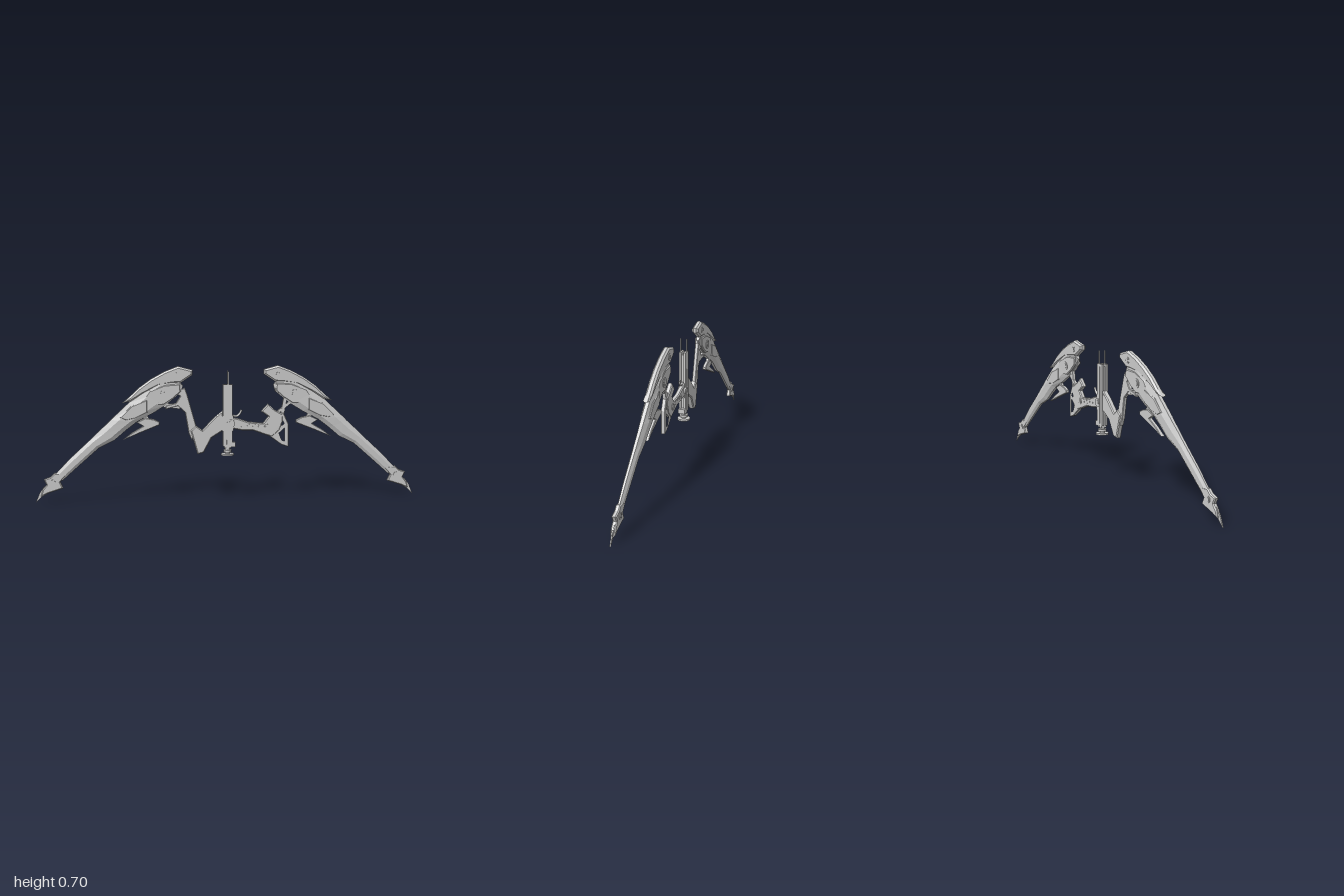
import * as THREE from 'three';

const flat = new THREE.MeshStandardMaterial({ color: 0xcccccc, flatShading: true });
const smooth = new THREE.MeshStandardMaterial({ color: 0xcccccc });

function add(parent, name, geometry, material = flat) {
  const mesh = new THREE.Mesh(geometry, material);
  mesh.name = name;
  parent.add(mesh);
  return mesh;
}

// Flat plate cut from an outline, centred on z = 0, with chamfered rims
function plate(parent, name, points, half, bevel = 0.004, holes = []) {
  const toV2 = list => list.map(([x, y]) => new THREE.Vector2(x, y));
  const shape = new THREE.Shape(toV2(points));
  for (const h of holes) shape.holes.push(new THREE.Path(toV2(h)));
  const geo = new THREE.ExtrudeGeometry(shape, {
    depth: 2 * (half - bevel), bevelEnabled: bevel > 0, bevelSegments: 1,
    bevelThickness: bevel, bevelSize: bevel, bevelOffset: -bevel,
  });
  geo.translate(0, 0, bevel - half);
  return add(parent, name, geo);
}

// Pivot bolt running through the thickness, with a raised inner pin
function bolt(parent, name, x, y, r, half) {
  for (const [k, extra] of [[1, 0], [0.6, 0.002]]) {
    const geo = new THREE.CylinderGeometry(r * k, r * k, 2 * (half + extra), 20);
    geo.rotateX(Math.PI / 2);
    add(parent, name, geo, smooth).position.set(x, y, 0);
  }
}

// Box between two points in the xy plane
function strut(parent, name, [x0, y0], [x1, y1], width, half) {
  const geo = new THREE.BoxGeometry(Math.hypot(x1 - x0, y1 - y0), width, 2 * half);
  const mesh = add(parent, name, geo);
  mesh.position.set((x0 + x1) / 2, (y0 + y1) / 2, 0);
  mesh.rotation.z = Math.atan2(y1 - y0, x1 - x0);
}

// Eight-sided cross-sections: [outer x, outer y, inner x, inner y, half thickness]
function bladeGeometry(sections) {
  const rings = sections.map(([ox, oy, ix, iy, h]) => {
    const at = (t, z) => [ox + (ix - ox) * t, oy + (iy - oy) * t, z];
    const e = h * 0.4;
    return [at(0, e), at(0.3, h), at(0.75, h), at(1, e), at(1, -e), at(0.75, -h), at(0.3, -h), at(0, -e)];
  });
  const index = [], last = (rings.length - 1) * 8;
  for (let i = 0; i < rings.length - 1; i++) {
    for (let k = 0; k < 8; k++) {
      const a = i * 8 + k, b = i * 8 + (k + 1) % 8;
      index.push(a, b, b + 8, a, b + 8, a + 8);
    }
  }
  for (let k = 1; k < 7; k++) {
    index.push(0, k + 1, k, last, last + k, last + k + 1);
  }
  const geo = new THREE.BufferGeometry();
  geo.setAttribute('position', new THREE.Float32BufferAttribute(rings.flat(2), 3));
  geo.setIndex(index);
  geo.computeVertexNormals();
  return geo;
}

// One bow limb, extending toward +x
function createLimb() {
  const limb = new THREE.Group();
  add(limb, 'limbBlade', bladeGeometry([
    [0.30, 0.670, 0.235, 0.600, 0.012],
    [0.39, 0.630, 0.245, 0.565, 0.017],
    [0.46, 0.565, 0.325, 0.500, 0.020],
    [0.516, 0.513, 0.39, 0.460, 0.022],
    [0.607, 0.428, 0.475, 0.415, 0.022],
    [0.63, 0.405, 0.53, 0.373, 0.020],
    [0.66, 0.378, 0.59, 0.322, 0.018],
    [0.714, 0.326, 0.67, 0.283, 0.016],
    [0.82, 0.228, 0.785, 0.182, 0.014],
    [0.90, 0.145, 0.86, 0.115, 0.011],
  ]));
  // Cap over the top of the limb, ending in a backward barb
  plate(limb, 'limbCap', [
    [0.185, 0.68], [0.26, 0.70], [0.33, 0.673], [0.40, 0.635], [0.46, 0.592], [0.51, 0.545],
    [0.548, 0.513], [0.50, 0.522], [0.44, 0.56], [0.36, 0.60], [0.29, 0.612], [0.245, 0.615], [0.185, 0.655],
  ], 0.017, 0.009);
  // Hub plate and the layered armour along the blade
  plate(limb, 'hubPlate', [
    [0.25, 0.61], [0.33, 0.605], [0.41, 0.575], [0.43, 0.545], [0.39, 0.50], [0.335, 0.502], [0.285, 0.535], [0.247, 0.57],
  ], 0.020, 0.005);
  plate(limb, 'armourPlate', [
    [0.42, 0.53], [0.50, 0.50], [0.56, 0.44], [0.53, 0.425], [0.48, 0.435], [0.42, 0.465],
  ], 0.0235, 0.004);
  bolt(limb, 'hubBolt', 0.347, 0.55, 0.024, 0.0225);
  bolt(limb, 'capBolt', 0.264, 0.653, 0.016, 0.019);
  // Swept fin below the limb and its short stem
  plate(limb, 'underFin', [
    [0.357, 0.412], [0.385, 0.426], [0.43, 0.435], [0.475, 0.412], [0.442, 0.392],
    [0.50, 0.358], [0.546, 0.322], [0.46, 0.357], [0.357, 0.398],
  ], 0.010, 0.003);
  strut(limb, 'finStem', [0.42, 0.42], [0.44, 0.46], 0.025, 0.007);
  // Barbed head and thin needle at the end
  plate(limb, 'tipHead', [
    [0.835, 0.150], [0.90, 0.155], [0.92, 0.135], [0.955, 0.123], [0.942, 0.095],
    [0.962, 0.07], [0.972, 0.035], [0.935, 0.05], [0.858, 0.075], [0.872, 0.108],
  ], 0.012, 0.005);
  plate(limb, 'tipNeedle', [[0.92, 0.06], [0.955, 0.085], [0.98, 0.05], [1, 0], [0.97, 0.03]], 0.003, 0);
  bolt(limb, 'tipBolt', 0.905, 0.107, 0.016, 0.014);
  return limb;
}

// Zigzag arm joining the frame to the limb on the -x side
function createZigzagArm() {
  const arm = new THREE.Group();
  plate(arm, 'armStrut', [
    [-0.285, 0.567], [-0.225, 0.588], [-0.212, 0.55], [-0.168, 0.39], [-0.19, 0.31],
    [-0.207, 0.35], [-0.225, 0.46], [-0.262, 0.495], [-0.325, 0.478], [-0.325, 0.497], [-0.272, 0.51], [-0.25, 0.545],
  ], 0.010, 0.003);
  plate(arm, 'armBlock', [
    [-0.197, 0.366], [-0.168, 0.39], [-0.136, 0.366], [-0.075, 0.43], [-0.03, 0.465],
    [-0.03, 0.362], [-0.088, 0.326], [-0.13, 0.248], [-0.162, 0.24],
  ], 0.015, 0.005);
  strut(arm, 'armLink', [-0.335, 0.50], [-0.25, 0.49], 0.022, 0.008);
  return arm;
}

// Contoured handle with an open guard on the +x side
function createHandle() {
  const handle = new THREE.Group();
  plate(handle, 'handleGrip', [
    [0.02, 0.43], [0.05, 0.425], [0.104, 0.406], [0.184, 0.398], [0.21, 0.433], [0.172, 0.46],
    [0.208, 0.50], [0.243, 0.468], [0.285, 0.445], [0.288, 0.41], [0.27, 0.36], [0.23, 0.325],
    [0.19, 0.338], [0.13, 0.36], [0.07, 0.362], [0.02, 0.372],
  ], 0.013, 0.005);
  plate(handle, 'handleGuard', [
    [0.235, 0.44], [0.29, 0.452], [0.318, 0.39], [0.318, 0.27], [0.28, 0.282], [0.215, 0.33],
  ], 0.011, 0.003, [[[0.262, 0.345], [0.298, 0.375], [0.298, 0.298], [0.28, 0.303]],
    [[0.262, 0.422], [0.28, 0.43], [0.298, 0.393], [0.28, 0.38]]]);
  strut(handle, 'handleStrut', [0.283, 0.435], [0.30, 0.535], 0.018, 0.008);
  strut(handle, 'handleBrace', [0.255, 0.45], [0.33, 0.51], 0.014, 0.007);
  for (let i = 0; i < 4; i++) {
    strut(handle, 'gripRib', [0.07 + i * 0.03, 0.375], [0.076 + i * 0.03, 0.395], 0.01, 0.0145);
  }
  bolt(handle, 'handleBolt', 0.205, 0.375, 0.018, 0.0155);
  // Curved trigger
  const curve = new THREE.CatmullRomCurve3([[0.02, 0.44], [0.045, 0.437], [0.06, 0.45], [0.07, 0.47]]
    .map(([x, y]) => new THREE.Vector3(x, y, 0)));
  add(handle, 'trigger', new THREE.TubeGeometry(curve, 12, 0.006, 8), smooth);
  return handle;
}

// Upright central column with split rails, prongs and a bottom knob
function createColumn() {
  const column = new THREE.Group();
  column.position.x = -0.004;
  const box = (name, w, y0, y1, d, z = 0, x = 0) =>
    add(column, name, new THREE.BoxGeometry(w, y1 - y0, d)).position.set(x, (y0 + y1) / 2, z);
  box('columnCore', 0.036, 0.27, 0.59, 0.03);
  for (const s of [-1, 1]) {
    box('columnRail', 0.05, 0.28, 0.604, 0.012, s * 0.012);
    box('railRidge', 0.012, 0.29, 0.59, 0.003, s * 0.0185);
    box('prong', 0.007, 0.58, 0.672, 0.005, s * 0.0165, 0.002);
  }
  box('columnCollar', 0.062, 0.36, 0.44, 0.03);
  box('columnFoot', 0.035, 0.275, 0.30, 0.034, 0, 0.023);
  for (const [name, r, y0, y1] of [['knobNeck', 0.013, 0.235, 0.285],
    ['knobRing', 0.022, 0.249, 0.26], ['knobDisc', 0.034, 0.231, 0.24]]) {
    add(column, name, new THREE.CylinderGeometry(r, r, y1 - y0, 28), smooth).position.y = (y0 + y1) / 2;
  }
  bolt(column, 'columnBolt', 0.016, 0.40, 0.021, 0.0215);
  return column;
}

export function createModel() {
  const model = new THREE.Group();
  model.name = 'bow';
  const parts = { leftLimb: createLimb(), rightLimb: createLimb(), zigzagArm: createZigzagArm(),
    handle: createHandle(), column: createColumn() };
  // Each limb is symmetric in z, so half a turn mirrors it
  parts.rightLimb.rotation.y = Math.PI;
  for (const [name, part] of Object.entries(parts)) {
    part.name = name;
    model.add(part);
  }
  return model;
}
